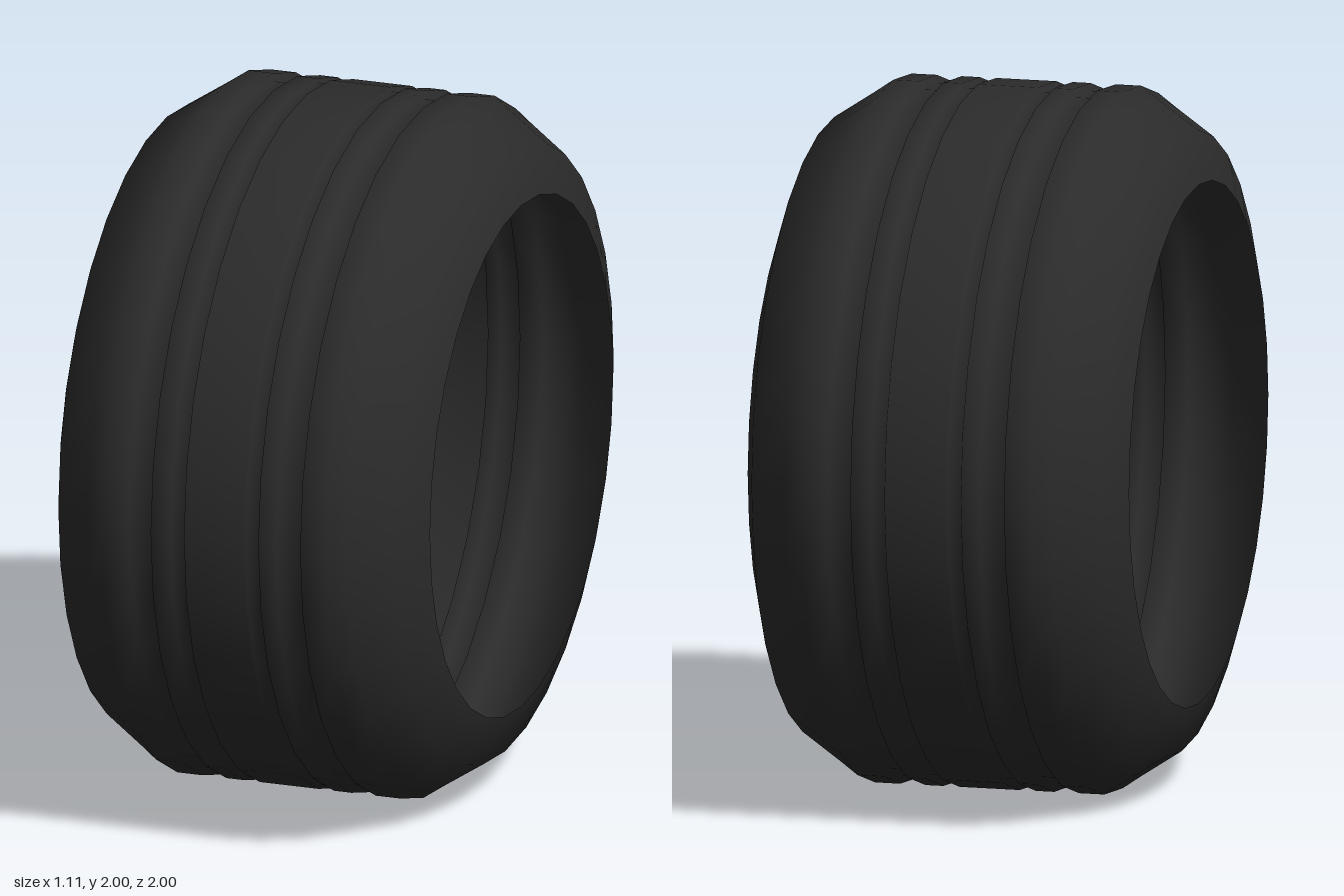
import * as THREE from 'three';

export function createModel() {
  const group = new THREE.Group();
  group.name = 'tyre';

  const rubber = new THREE.MeshStandardMaterial({ color: 0x2b2b2b, side: THREE.DoubleSide });
  rubber.name = 'black rubber';

  // Half profile from the middle of the tread to the rim: [distance from centre, radius]
  const half = [
    [0.088, 1], [0.092, 0.988], [0.131, 0.988], [0.135, 1], // narrow groove
    [0.188, 1], [0.192, 0.977], [0.257, 0.977], [0.261, 1], // wide groove
    [0.335, 1], [0.39, 0.962], [0.508, 0.884], [0.557, 0.745], // shoulder and sidewall
  ];
  const mirrored = half.map(([x, r]) => [-x, r]).reverse();
  const profile = [...mirrored, ...half].map(([x, r]) => new THREE.Vector2(r, x));

  // Open shell turned around the axle, which lies along x
  const geometry = new THREE.LatheGeometry(profile, 32);
  geometry.rotateZ(-Math.PI / 2);
  const tyre = new THREE.Mesh(geometry, rubber);
  tyre.name = 'tyreShell';
  tyre.position.y = 1;
  group.add(tyre);

  return group;
}
